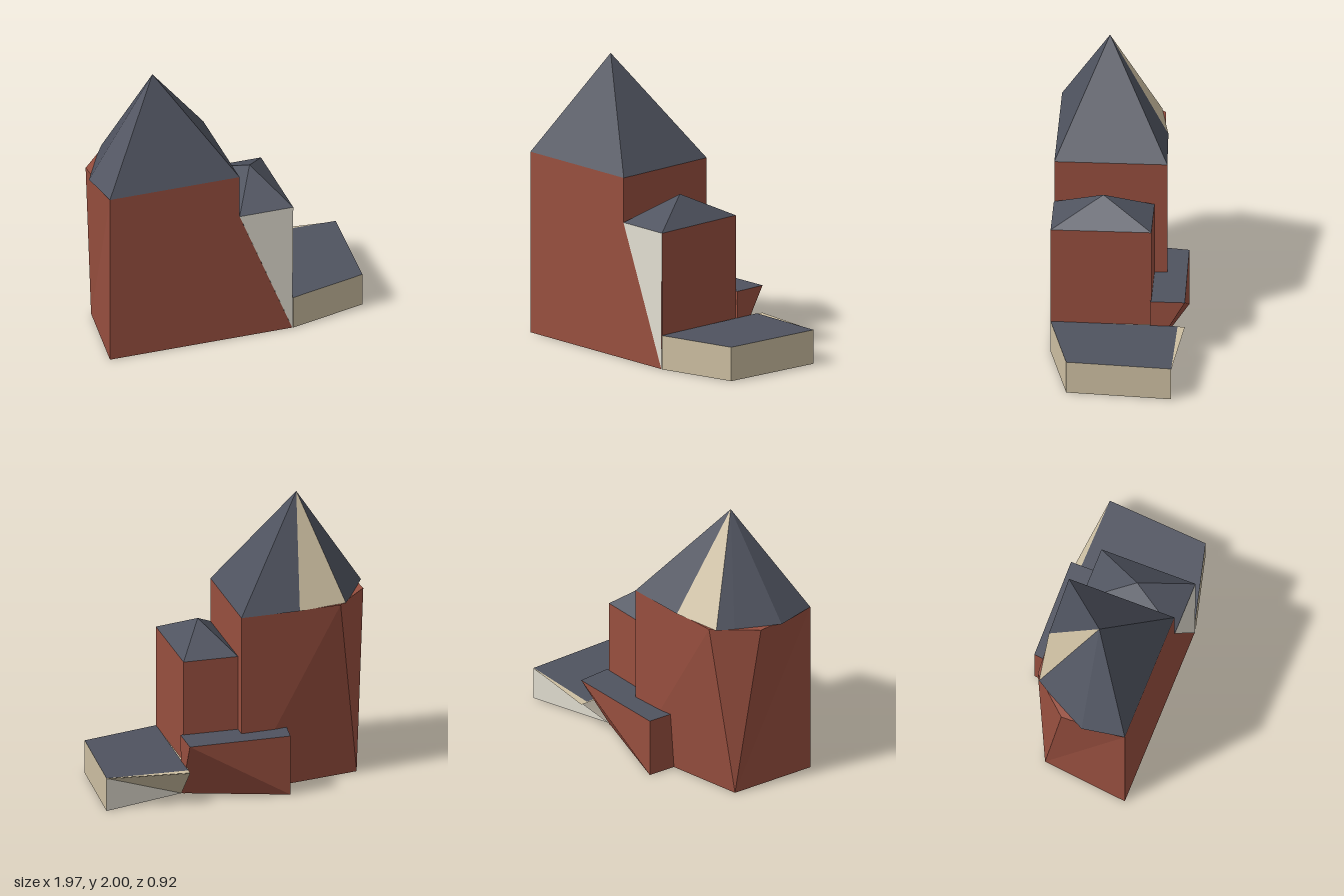
import * as THREE from 'three';

const brick = new THREE.MeshStandardMaterial({ name: 'brick red', color: 0x984f3f });
const slate = new THREE.MeshStandardMaterial({ name: 'slate', color: 0x4f535f });
const stone = new THREE.MeshStandardMaterial({ name: 'beige stone', color: 0xcdbfa2 });
const plaster = new THREE.MeshStandardMaterial({ name: 'pale plaster', color: 0xe3dfd2 });

// Flat-faced mesh from polygons (corners counter-clockwise seen from outside).
function panels(name, material, polygons) {
  const pos = [];
  for (const p of polygons)
    for (let i = 1; i < p.length - 1; i++) pos.push(...p[0], ...p[i], ...p[i + 1]);
  const geometry = new THREE.BufferGeometry();
  geometry.setAttribute('position', new THREE.Float32BufferAttribute(pos, 3));
  geometry.computeVertexNormals();
  const mesh = new THREE.Mesh(geometry, material);
  mesh.name = name;
  return mesh;
}

// Lift a plan outline of [x, z] points to a height.
const at = (y, plan) => plan.map(([x, z]) => [x, y, z]);
const under = (y, plan) => at(y, plan).reverse();
// Upright wall between two plan points.
const wall = ([ax, az], [bx, bz], y0, y1) =>
  [[ax, y0, az], [bx, y0, bz], [bx, y1, bz], [ax, y1, az]];
// Sloping roof faces from an eaves outline to an apex.
const slopes = (y, plan, apex) =>
  at(y, plan).map((p, i, ring) => [p, ring[(i + 1) % ring.length], apex]);

function tower() {
  const g = new THREE.Group();
  g.name = 'tower';
  const top = 1.28, front = 0.458;
  const fl = [-0.936, front], fr = [0, front], br = [0, -0.317];
  const foot = [-0.865, -0.155];                     // lower back corner
  const side = [-0.957, 0], back = [-0.72, -0.265];  // upper back corners
  const up = ([x, z]) => [x, top, z], down = ([x, z]) => [x, 0, z];

  g.add(panels('towerWalls', brick, [
    [down(fl), [0.38, 0, front], [0, 0.965, front], up(fr), up(fl)],
    wall(fr, br, 0, top),
    [down(br), up(back), up(br)],
    [down(br), down(foot), up(back)],
    [down(foot), up(side), up(back)],
    [down(foot), down(fl), up(fl), up(side)],
    at(top - 0.003, [fl, fr, br, back, side]),
  ]));

  // Many-sided spire with one pale face at the back
  const eaves = [fl, fr, br, [-0.42, -0.3], [-0.765, -0.238], [-0.83, -0.13], [-0.986, 0.16]];
  const faces = slopes(top, eaves, [-0.51, 2, 0.105]);
  const pale = faces.splice(3, 1);
  g.add(panels('towerRoof', slate, [...faces, under(top, eaves)]));
  g.add(panels('paleRoofFace', stone, pale));
  return g;
}

function turret() {
  const g = new THREE.Group();
  g.name = 'turret';
  const top = 0.965;
  const plan = [[0, 0.461], [0.387, 0.461], [0.387, -0.229], [0, -0.229]];
  g.add(panels('turretWalls', brick, [
    wall(plan[1], plan[2], 0, top),
    wall(plan[2], plan[3], 0, top),
  ]));
  g.add(panels('plasterGusset', plaster, [[[0.38, 0, 0.461], [0.387, top, 0.461], [0, top, 0.461]]]));
  g.add(panels('turretRoof', slate, [
    ...slopes(top, plan, [0.19, 1.14, 0.11]), under(top, plan)]));
  return g;
}

function annex() {
  const g = new THREE.Group();
  g.name = 'backAnnex';
  const h = 0.43;
  const a = [-0.31, -0.45], b = [-0.335, -0.25], c = [0.408, -0.225], d = [0.408, -0.46];
  const [low, lowIn] = at(0, [a, [0.4, -0.22]]);
  const [topA, topC, topD] = at(h, [a, c, d]);
  g.add(panels('annexWalls', brick, [
    [low, topA, topD],              // back face, folded along its diagonal
    [low, topD, lowIn],
    [lowIn, topD, topC],
    wall(a, b, 0, h),
    wall([0.385, -0.225], c, 0, h), // narrow return beside the turret
  ]));
  g.add(panels('annexRoof', slate, [at(h, [a, b, [-0.335, -0.22], [0.385, -0.22], c, d])]));
  return g;
}

function wing() {
  const g = new THREE.Group();
  g.name = 'lowWing';
  const h = 0.24;
  const a = [0.385, 0.461], b = [0.933, 0.323], c = [0.984, -0.4];
  const inner = [0.4, -0.22], over = [0.405, -0.46];
  const [lowC, lowIn] = at(0, [c, inner]);
  const [topC, topOver] = at(h, [c, over]);
  g.add(panels('wingWalls', stone, [
    wall(a, b, 0, h),
    wall(b, c, 0, h),
    [lowIn, topOver, topC],         // overhanging back face
    at(h - 0.004, [a, b, c, over, [0.385, -0.225]]),
    under(0, [a, b, c, inner]),
  ]));
  g.add(panels('wingBackPlaster', plaster, [[lowC, lowIn, topC]]));
  g.add(panels('wingRoof', slate, [at(h, [a, b, c, [0.405, -0.41]])]));
  return g;
}

export function createModel() {
  const model = new THREE.Group();
  model.name = 'house';
  model.add(tower(), turret(), annex(), wing());
  // Shared floor
  model.add(panels('floor', brick, [at(0, [[0.385, 0.458], [-0.936, 0.458], [-0.865, -0.155],
    [-0.335, -0.258], [-0.31, -0.45], [0.4, -0.22]])]));
  return model;
}
